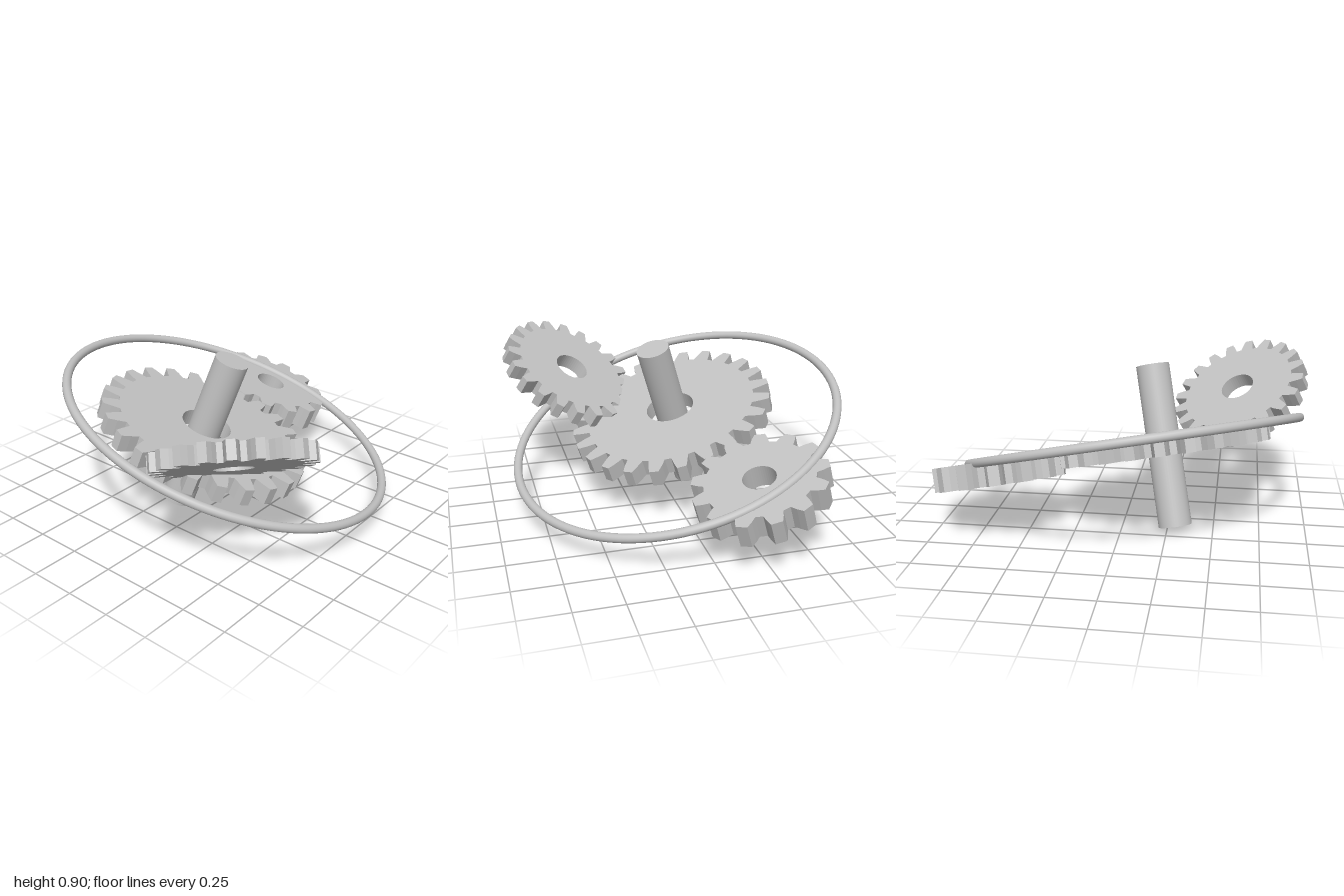
import * as THREE from 'three';

const steel = new THREE.MeshStandardMaterial({ color: 0xc0c0c0 });
steel.name = 'steel grey';

// Turns a part so its local z follows the axis and its local x points along (px, pz) seen from above
function place(mesh, name, center, axis, [px, pz] = [1, 0]) {
  const n = axis.clone().normalize();
  const u = new THREE.Vector3(px, -(n.x * px + n.z * pz) / n.y, pz).normalize();
  const v = new THREE.Vector3().crossVectors(n, u);
  mesh.quaternion.setFromRotationMatrix(new THREE.Matrix4().makeBasis(u, v, n));
  mesh.position.set(...center);
  mesh.name = name;
  return mesh;
}

// Spur gear with tapered teeth and a round bore, centred on its thickness
function gear({ teeth, outer, root, bore, thickness }) {
  const pitch = (Math.PI * 2) / teeth;
  // each tooth: [angle as a share of the pitch, radius]
  const profile = [
    [-0.36, root],
    [-0.27, root + (outer - root) * 0.5],
    [-0.17, outer],
    [0.17, outer],
    [0.27, root + (outer - root) * 0.5],
    [0.36, root],
  ];
  const points = [];
  for (let i = 0; i < teeth; i++) {
    for (const [share, r] of profile) {
      const a = (i + share) * pitch;
      points.push(new THREE.Vector2(Math.cos(a) * r, Math.sin(a) * r));
    }
  }
  const shape = new THREE.Shape(points);
  shape.holes.push(new THREE.Path().absarc(0, 0, bore, 0, Math.PI * 2, true));
  const geometry = new THREE.ExtrudeGeometry(shape, {
    depth: thickness, bevelEnabled: false, curveSegments: 24,
  });
  geometry.translate(0, 0, -thickness / 2);
  return new THREE.Mesh(geometry, steel);
}

export function createModel() {
  const model = new THREE.Group();
  model.name = 'gearAssembly';
  const mainAxis = new THREE.Vector3(0.182, 0.938, 0.295);
  const tiltedAxis = new THREE.Vector3(0.387, 0.825, -0.41);
  const hub = [-0.215, 0.448, -0.045];

  // Central shaft
  const rod = new THREE.CylinderGeometry(0.091, 0.091, 0.888, 40).rotateX(Math.PI / 2);
  model.add(place(new THREE.Mesh(rod, steel), 'shaft', hub, mainAxis));

  // Large gear around the shaft
  model.add(place(
    gear({ teeth: 24, outer: 0.578, root: 0.485, bore: 0.137, thickness: 0.093 }),
    'mainGear', hub, mainAxis, [-5, -103]));

  // Small gear lying beside the large one
  model.add(place(
    gear({ teeth: 13, outer: 0.352, root: 0.285, bore: 0.087, thickness: 0.128 }),
    'smallGear', [0.652, 0.335, -0.273], mainAxis, [19, -62]));

  // Medium gear leaning against the large one
  model.add(place(
    gear({ teeth: 20, outer: 0.402, root: 0.328, bore: 0.098, thickness: 0.09 }),
    'tiltedGear', [-0.615, 0.622, 0.485], tiltedAxis, [11, 71]));

  // Thin outer ring
  const hoop = new THREE.TorusGeometry(0.908, 0.0235, 16, 112);
  model.add(place(new THREE.Mesh(hoop, steel), 'outerRing', [-0.045, 0.454, -0.008], mainAxis));

  return model;
}
